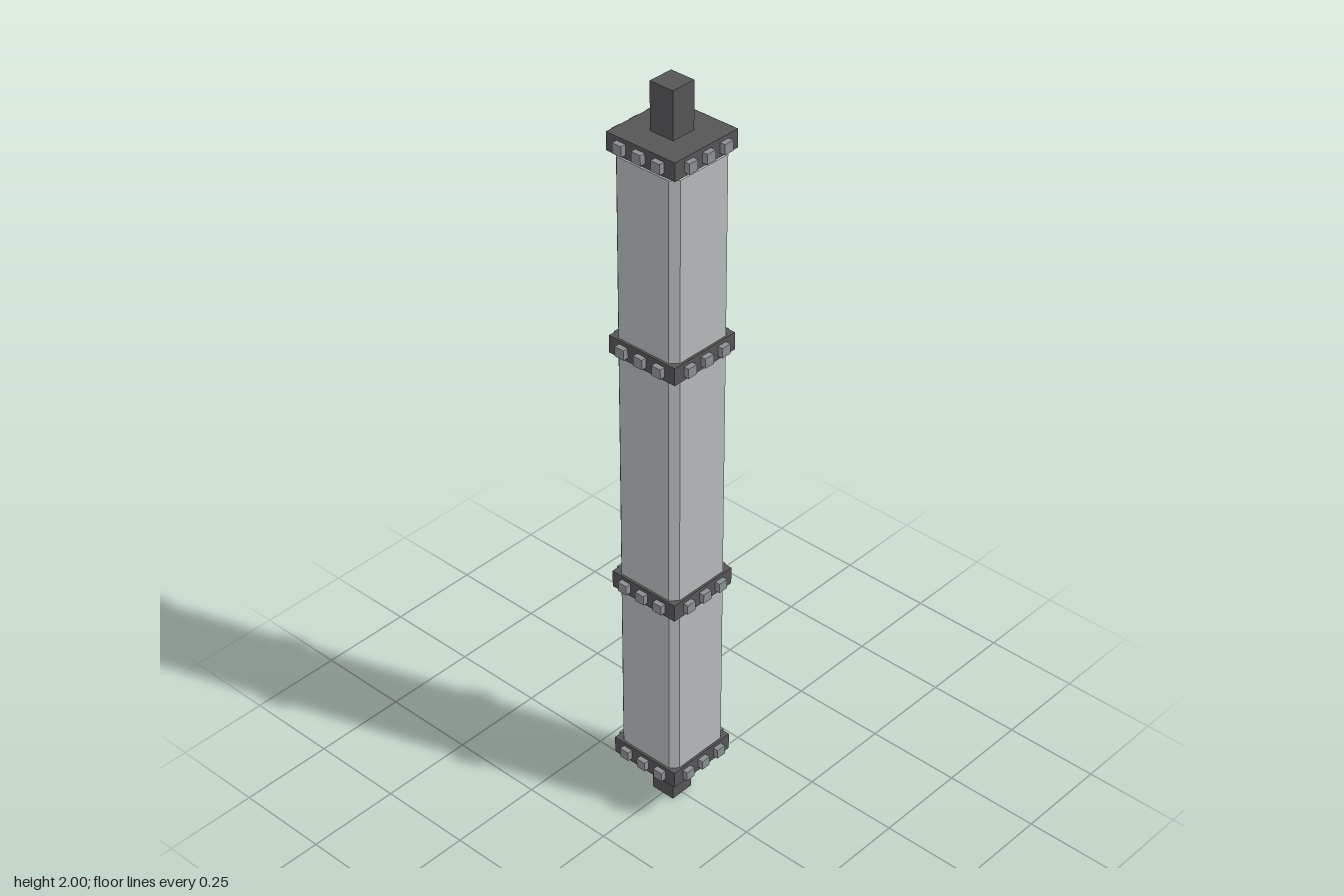
import * as THREE from 'three';

export function createModel() {
  const model = new THREE.Group();
  const mat = (name, color) => {
    const m = new THREE.MeshStandardMaterial({ color });
    m.name = name;
    return m;
  };
  const lightGrey = mat('light grey', 0xb4b8ba);
  const midGrey = mat('mid grey', 0x8c8f92);
  const darkGrey = mat('dark grey', 0x555557);

  const box = (parent, name, w, h, d, x, y, z, material) => {
    const mesh = new THREE.Mesh(new THREE.BoxGeometry(w, h, d), material);
    mesh.name = name;
    mesh.position.set(x, y, z);
    parent.add(mesh);
  };

  // Square column with chamfered corners and bevelled ends
  const half = 0.094, bevel = 0.018, bottom = 0.142, top = 1.843;
  const inner = half - bevel;
  const section = new THREE.Shape();
  section.moveTo(-inner, -inner);
  section.lineTo(inner, -inner);
  section.lineTo(inner, inner);
  section.lineTo(-inner, inner);
  section.closePath();
  // Square section grown outward, with its corners cut at 45 degrees
  const chamfered = new THREE.Shape();
  [[inner, -half], [half, -inner], [half, inner], [inner, half],
    [-inner, half], [-half, inner], [-half, -inner], [-inner, -half]]
    .forEach(([x, y], i) => (i ? chamfered.lineTo(x, y) : chamfered.moveTo(x, y)));
  chamfered.closePath();
  const columnGeo = new THREE.ExtrudeGeometry(chamfered, {
    depth: top - bottom - 2 * bevel, bevelEnabled: true, bevelSegments: 1,
    bevelThickness: bevel, bevelSize: bevel, bevelOffset: -bevel,
  });
  columnGeo.rotateX(-Math.PI / 2);
  const column = new THREE.Mesh(columnGeo, lightGrey);
  column.name = 'column';
  column.position.y = bottom + bevel;
  model.add(column);

  // Square pegs at both ends
  box(model, 'bottomPeg', 0.067, 0.13, 0.067, 0, 0.065, 0, darkGrey);
  box(model, 'topPeg', 0.067, 0.13, 0.067, 0, 1.935, 0, darkGrey);

  // Collars with three studs on each side
  [['bottomCollar', 0.145], ['lowerCollar', 0.668], ['upperCollar', 1.337], ['topCollar', 1.857]]
    .forEach(([name, y]) => {
      const collar = new THREE.Group();
      collar.name = name;
      collar.position.y = y;
      box(collar, 'band', 0.2, 0.046, 0.2, 0, 0, 0, darkGrey);
      for (let side = 0; side < 4; side++) {
        const studs = new THREE.Group();
        studs.name = 'studRow';
        studs.rotation.y = side * Math.PI / 2;
        for (const x of [-0.056, 0, 0.056]) {
          box(studs, 'stud', 0.027, 0.026, 0.024, x, 0, 0.102, midGrey);
        }
        collar.add(studs);
      }
      model.add(collar);
    });

  return model;
}
